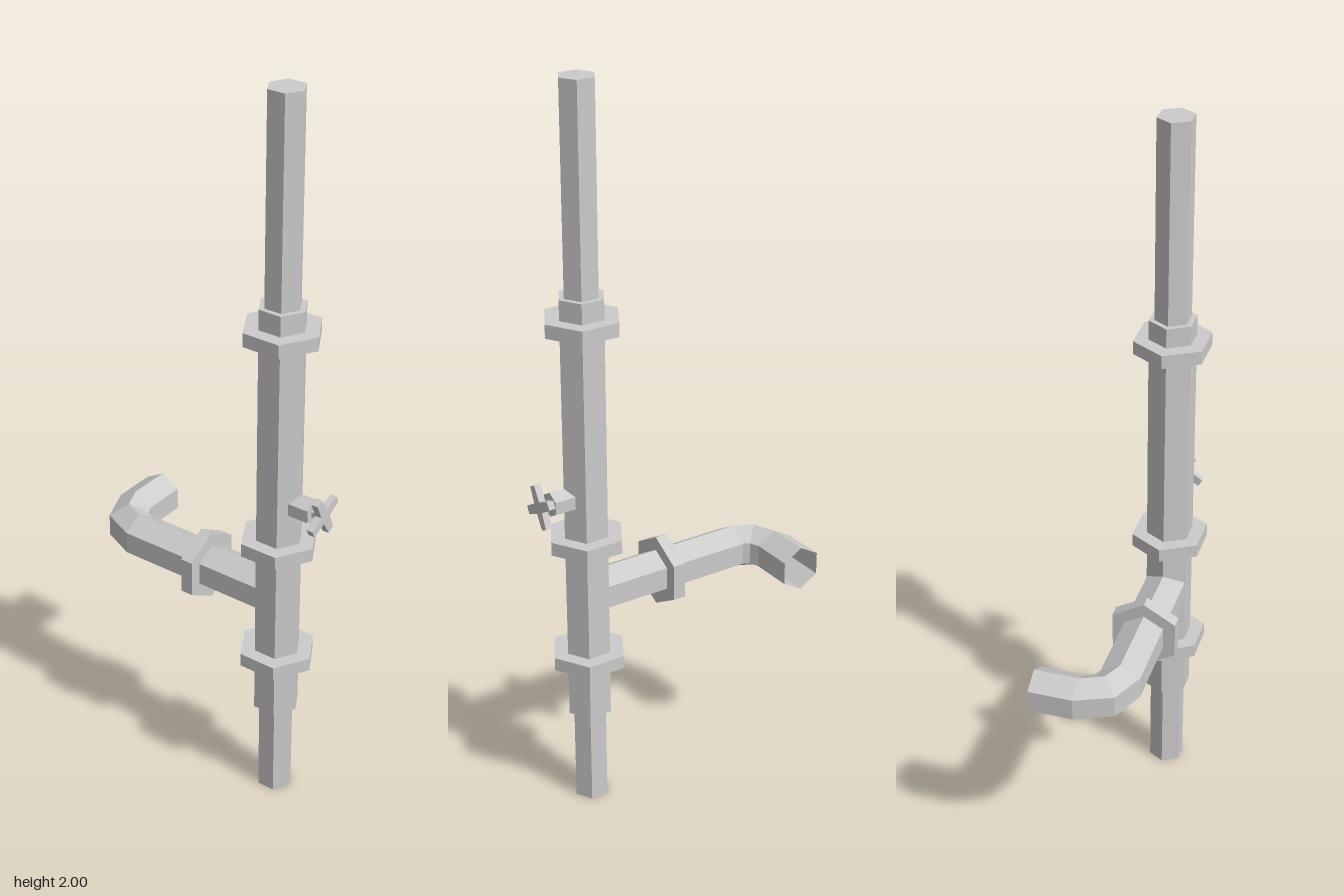
import * as THREE from 'three';

const AX = 0.228, AZ = 0.057; // axis of the upright pipe
const BY = 0.622;             // height of the side branch

export function createModel() {
  const root = new THREE.Group();
  const mat = new THREE.MeshStandardMaterial({ color: 0xcccccc, flatShading: true });
  const openMat = mat.clone();
  openMat.side = THREE.DoubleSide;

  const add = (name, geo, x = 0, y = 0, z = 0, m = mat) => {
    const mesh = new THREE.Mesh(geo, m);
    mesh.name = name;
    mesh.position.set(x, y, z);
    root.add(mesh);
    return mesh;
  };
  // Hexagonal prisms: upright with corners on x, or lying along x with corners on y
  const hex = (r, h) => new THREE.CylinderGeometry(r, r, h, 6, 1, false, Math.PI / 2);
  const hexX = (r, h) => hex(r, h).rotateZ(Math.PI / 2);

  // Upright pipe, sleeve and collars
  add('mainPipe', hex(0.049, 2), AX, 1, AZ);
  add('sleeve', hex(0.064, 1.185), AX, 0.8625, AZ);
  [0.437, 0.782, 1.382].forEach((y, i) => add('collar' + (i + 1), hex(0.105, 0.037), AX, y, AZ));

  // Side branch bending to the back, open at its end: [x, z, angle of the bend]
  const rings = [
    [0.2, AZ, 0], [-0.235, AZ, 0], [-0.29, 0.032, Math.PI / 4],
    [-0.3165, -0.03, Math.PI / 2], [-0.3165, -0.15, Math.PI / 2],
  ];
  const R = 0.062, pos = [], idx = [];
  rings.forEach(([x, z, t], i) => {
    for (let k = 0; k < 6; k++) {
      const a = k * Math.PI / 3, out = R * Math.sin(a);
      pos.push(x - Math.sin(t) * out, BY + R * Math.cos(a), z + Math.cos(t) * out);
      if (i === rings.length - 1) continue;
      const p = i * 6 + k, q = i * 6 + (k + 1) % 6;
      idx.push(p, p + 6, q, q, p + 6, q + 6);
    }
  });
  const branch = new THREE.BufferGeometry();
  branch.setAttribute('position', new THREE.Float32BufferAttribute(pos, 3));
  branch.setIndex(idx);
  branch.computeVertexNormals();
  add('branchPipe', branch, 0, 0, 0, openMat);
  add('branchCollar', hexX(0.1, 0.035), -0.0045, BY, AZ);

  // Valve: body, stem and four-armed handle
  const VY = 0.91;
  add('valveBody', hexX(0.034, 0.063), 0.302, VY, AZ);
  add('valveStem', hexX(0.014, 0.03), 0.345, VY, AZ);
  const cross = new THREE.Shape();
  const arm = [[0.058, -0.011], [0.058, 0.011], [0.014, 0.014]];
  for (let k = 0; k < 4; k++) {
    const c = Math.cos(k * Math.PI / 2), s = Math.sin(k * Math.PI / 2);
    arm.forEach(([u, v], j) => {
      const x = u * c - v * s, y = u * s + v * c;
      if (k + j === 0) cross.moveTo(x, y); else cross.lineTo(x, y);
    });
  }
  cross.closePath();
  const handle = new THREE.ExtrudeGeometry(cross, { depth: 0.018, bevelEnabled: false });
  handle.rotateZ(0.48).rotateY(Math.PI / 2);
  add('valveHandle', handle, 0.35, VY, AZ);

  return root;
}
